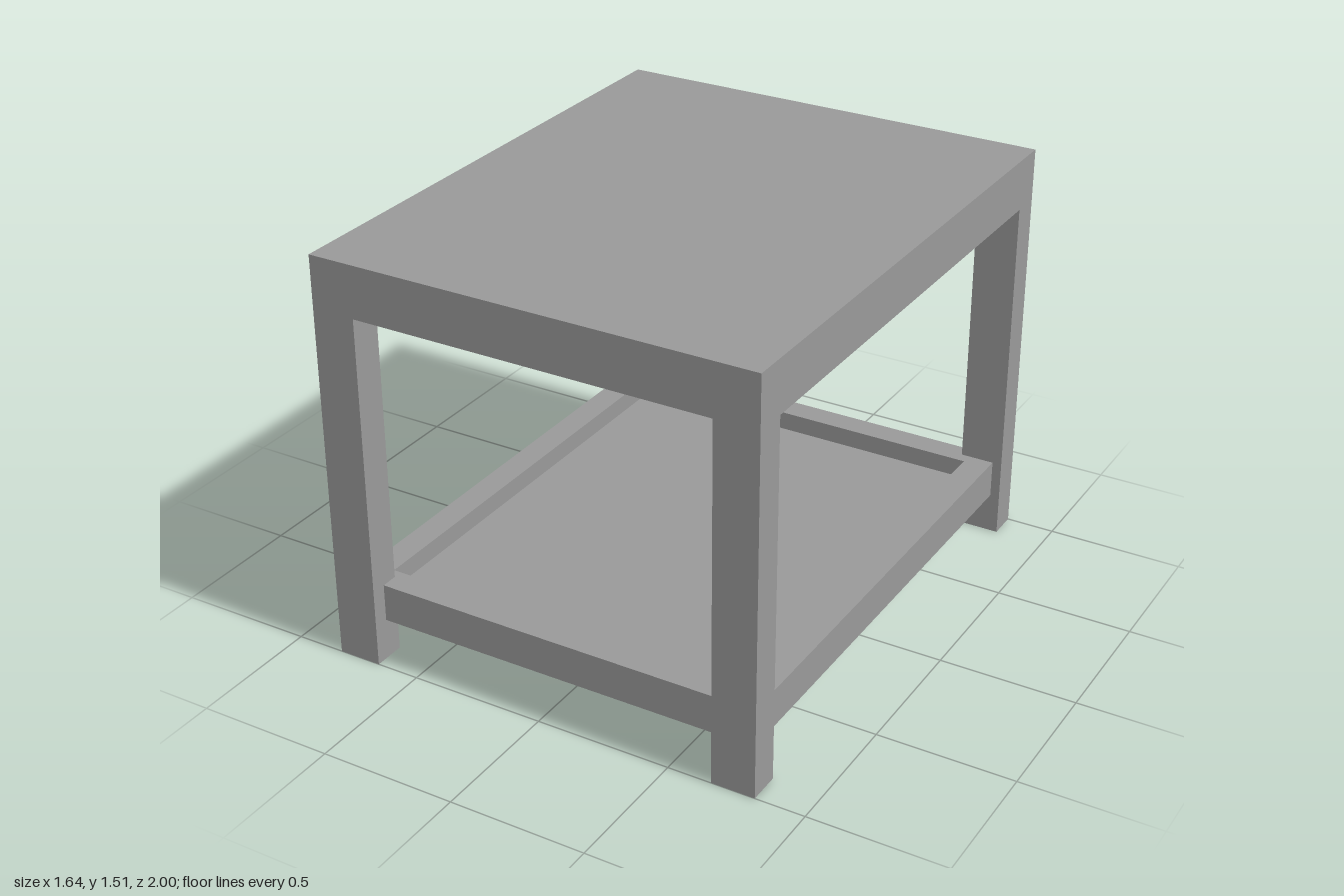
import * as THREE from 'three';

export function createModel() {
  const model = new THREE.Group();
  const grey = new THREE.MeshStandardMaterial({ color: 0x999999 });
  grey.name = 'grey';

  const add = (name, geometry) => {
    const mesh = new THREE.Mesh(geometry, grey);
    mesh.name = name;
    model.add(mesh);
  };
  // Box given by its minimum and maximum corners
  const box = (name, [x0, y0, z0], [x1, y1, z1]) =>
    add(name, new THREE.BoxGeometry(x1 - x0, y1 - y0, z1 - z0)
      .translate((x0 + x1) / 2, (y0 + y1) / 2, (z0 + z1) / 2));

  const W = 0.82, D = 1, H = 1.51, under = 1.32;

  // Thick table top, flush with the legs
  box('tableTop', [-W, under, -D], [W, H, D]);

  // Four legs; the front pair is slightly deeper
  for (const [side, x0, x1] of [['left', 0.66, W], ['right', -W, -0.66]]) {
    box(side + 'FrontLeg', [x0, 0, 0.88], [x1, under, D]);
    box(side + 'BackLeg', [x0, 0, -D], [x1, under, -0.89]);
  }

  // Lower tray: raised rim let into the middle of the legs
  const tx = 0.785, tz = 0.943, rim = 0.097, y0 = 0.15, y1 = 0.29;
  const rectangle = (path, x, z) =>
    path.moveTo(-x, -z).lineTo(x, -z).lineTo(x, z).lineTo(-x, z).closePath();
  const shape = rectangle(new THREE.Shape(), tx, tz);
  shape.holes.push(rectangle(new THREE.Path(), tx - rim, tz - rim));
  add('trayRim', new THREE.ExtrudeGeometry(shape, { depth: y1 - y0, bevelEnabled: false })
    .rotateX(-Math.PI / 2).translate(0, y0, 0));

  // Tray floor, sunk below the rim
  box('trayFloor', [rim - tx, y0, rim - tz], [tx - rim, 0.22, tz - rim]);

  return model;
}
